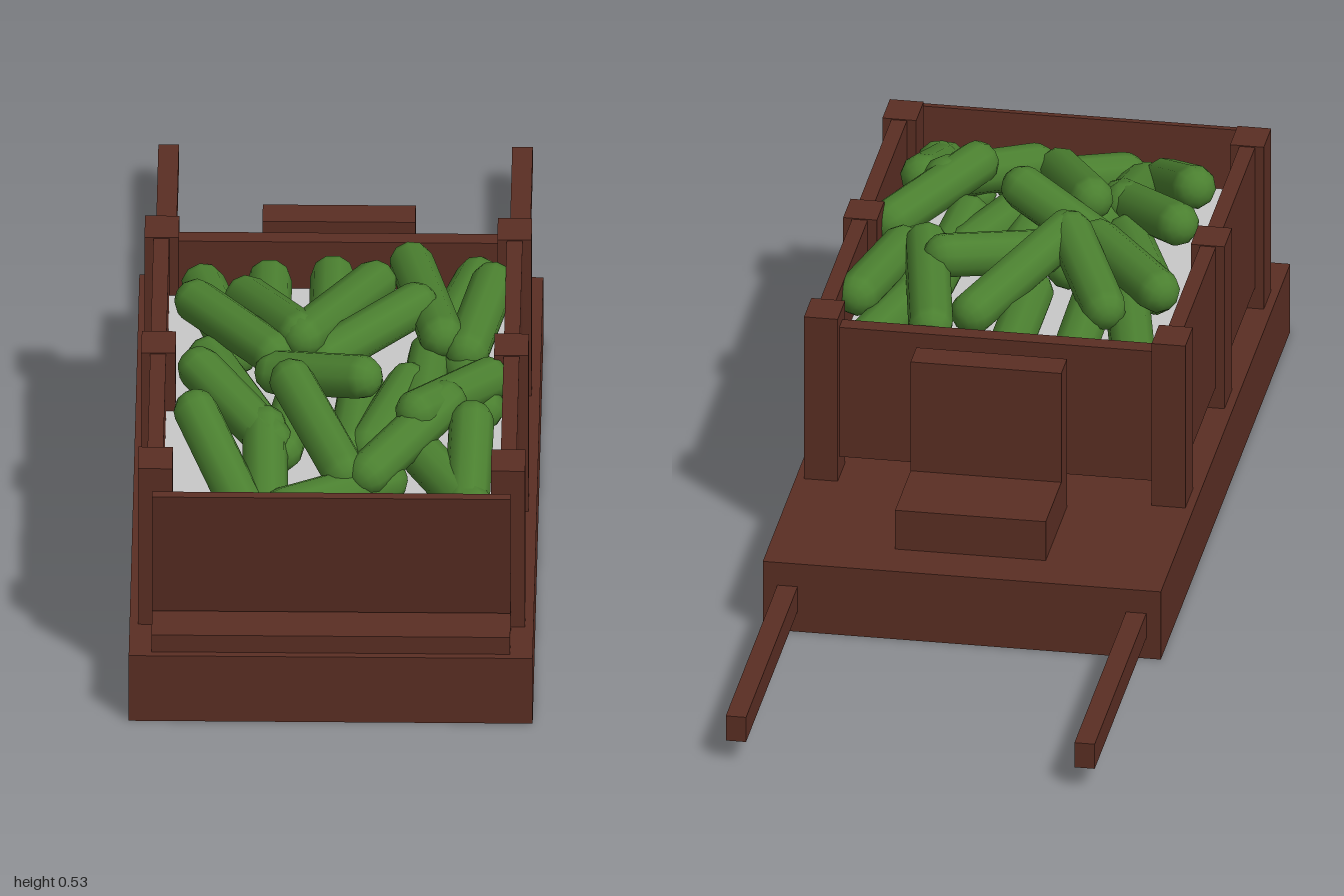
import * as THREE from 'three';

export function createModel() {
  const wood = new THREE.MeshStandardMaterial({ color: 0x5a2e23 });
  wood.name = 'brown wood';
  const green = new THREE.MeshStandardMaterial({ color: 0x4b8030 });
  green.name = 'cucumber green';
  const grey = new THREE.MeshStandardMaterial({ color: 0xc8c8c8, side: THREE.DoubleSide });
  grey.name = 'light grey';

  const cart = new THREE.Group();
  cart.name = 'cucumberCart';

  // Box given by its lower and upper limits on each axis
  function box(name, x0, x1, y0, y1, z0, z1, material = wood) {
    const mesh = new THREE.Mesh(new THREE.BoxGeometry(x1 - x0, y1 - y0, z1 - z0), material);
    mesh.position.set((x0 + x1) / 2, (y0 + y1) / 2, (z0 + z1) / 2);
    mesh.name = name;
    cart.add(mesh);
    return mesh;
  }

  // Bed, front sill and driver's seat
  box('bed', -0.383, 0.383, 0, 0.143, -0.43, 1);
  box('frontSill', -0.34, 0.34, 0.143, 0.18, 0.88, 0.985);
  box('seat', -0.145, 0.145, 0.143, 0.225, -0.335, -0.163);
  box('seatBack', -0.145, 0.145, 0.143, 0.455, -0.163, -0.1);

  // Shafts, side boards and posts, mirrored
  for (const s of [-1, 1]) {
    const side = (name, a, b, ...rest) => box(name, Math.min(s * a, s * b), Math.max(s * a, s * b), ...rest);
    side('shaft', 0.316, 0.355, 0.043, 0.095, -1, -0.43);
    side('sideBoard', 0.32, 0.35, 0.187, 0.483, -0.03, 0.85);
    for (const z of [-0.067, 0.366, 0.8]) side('post', 0.302, 0.367, 0.143, 0.485, z, z + 0.082);
  }
  box('backBoard', -0.31, 0.31, 0.187, 0.46, -0.05, -0.015);

  // Tailgate leaning outwards
  const tailgate = box('tailgate', -0.34, 0.34, 0.184, 0.457, 0.902, 0.919);
  tailgate.rotation.x = 0.13;

  // Thin false floor under the load
  box('falseFloor', -0.32, 0.32, 0.352, 0.358, -0.015, 0.865, grey);

  // Cucumbers: end centres as x, y, z, x, y, z
  const load = new THREE.Group();
  load.name = 'cucumbers';
  cart.add(load);
  const bottomLayer = [
    [-0.255, 0.38, 0.015, -0.19, 0.4, 0.3], [-0.13, 0.39, 0.015, -0.13, 0.4, 0.28],
    [-0.01, 0.4, 0.015, -0.01, 0.4, 0.28], [0.265, 0.4, 0.015, 0.21, 0.4, 0.22],
    [-0.24, 0.4, 0.32, -0.15, 0.4, 0.55], [0.2, 0.4, 0.2, 0.28, 0.4, 0.5],
    [0.18, 0.4, 0.3, 0.16, 0.41, 0.56], [-0.06, 0.4, 0.4, -0.1, 0.4, 0.66],
    [0.14, 0.41, 0.43, 0.07, 0.4, 0.64], [0.05, 0.39, 0.4, 0.03, 0.39, 0.64],
    [0.17, 0.4, 0.68, 0.265, 0.38, 0.84], [0.1, 0.39, 0.76, -0.09, 0.38, 0.85],
  ];
  const topLayer = [
    [0.07, 0.44, 0.1, -0.06, 0.485, 0.38], [0.14, 0.44, 0.03, 0.2, 0.46, 0.33],
    [0.295, 0.45, 0.12, 0.25, 0.44, 0.35], [-0.265, 0.46, 0.21, -0.12, 0.46, 0.4],
    [-0.17, 0.44, 0.16, -0.07, 0.488, 0.37], [0.15, 0.48, 0.25, -0.02, 0.44, 0.38],
    [-0.255, 0.47, 0.48, -0.12, 0.42, 0.66], [-0.11, 0.44, 0.44, 0.05, 0.49, 0.54],
    [0.29, 0.44, 0.46, 0.16, 0.48, 0.65], [-0.26, 0.47, 0.64, -0.17, 0.38, 0.84],
    [-0.13, 0.43, 0.63, -0.125, 0.36, 0.86], [-0.08, 0.48, 0.54, 0.02, 0.42, 0.77],
    [0.262, 0.45, 0.64, 0.255, 0.37, 0.86], [0.21, 0.47, 0.6, 0.07, 0.42, 0.78],
  ];
  const up = new THREE.Vector3(0, 1, 0);
  for (const [ax, ay, az, bx, by, bz] of [...bottomLayer, ...topLayer]) {
    const a = new THREE.Vector3(ax, ay, az);
    const b = new THREE.Vector3(bx, by, bz);
    const axis = b.clone().sub(a);
    const cucumber = new THREE.Mesh(new THREE.CapsuleGeometry(0.043, axis.length(), 4, 10), green);
    cucumber.position.copy(a).add(b).multiplyScalar(0.5);
    cucumber.quaternion.setFromUnitVectors(up, axis.normalize());
    cucumber.name = 'cucumber';
    load.add(cucumber);
  }
  return cart;
}
